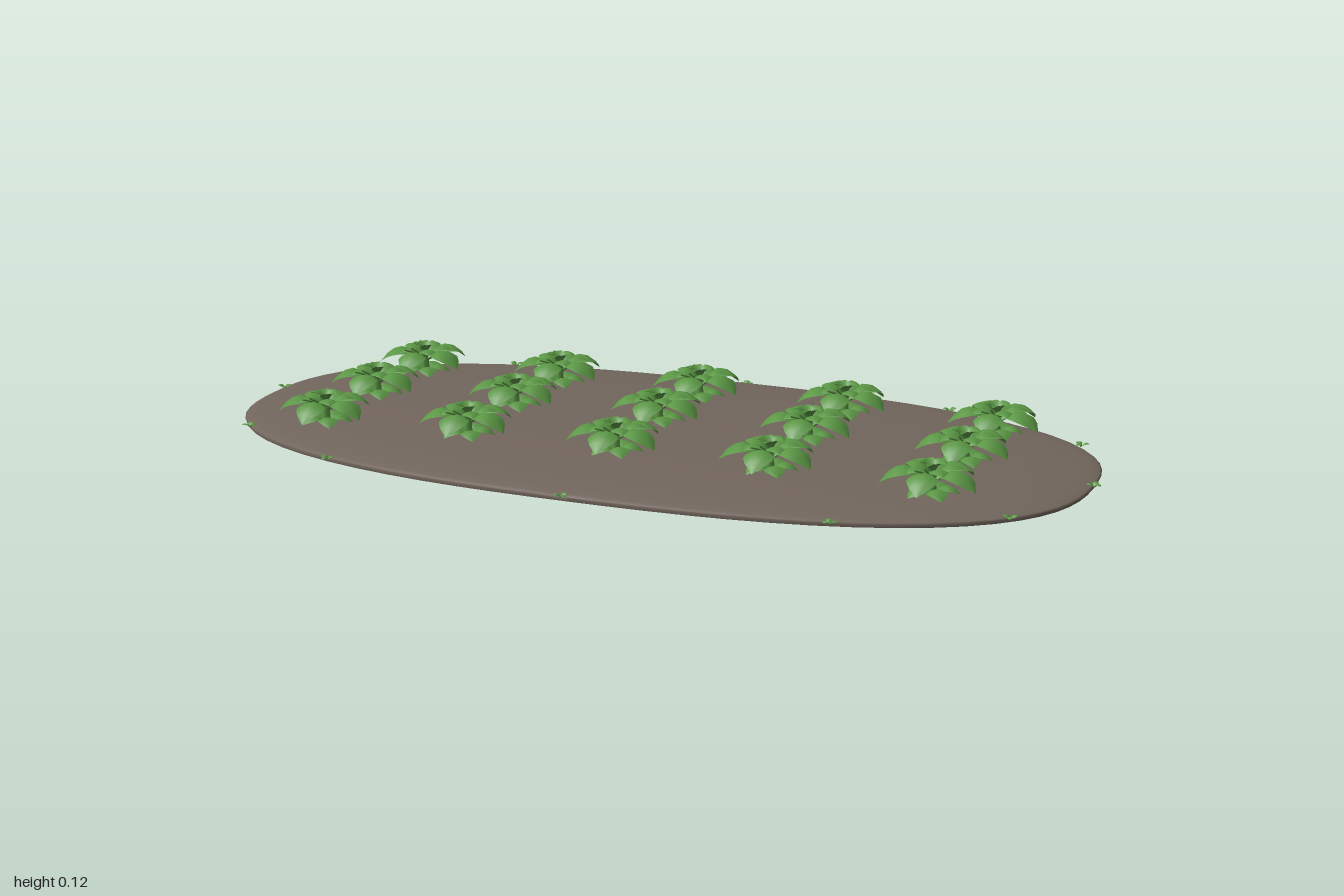
import * as THREE from 'three';
import { mergeGeometries } from 'three/addons/utils/BufferGeometryUtils.js';

const soil = new THREE.MeshStandardMaterial({ color: 0x72665d });
soil.name = 'soil brown';
const green = new THREE.MeshStandardMaterial({ color: 0x5a9644, side: THREE.DoubleSide });
green.name = 'leaf green';

const HALF_X = 0.983, HALF_Z = 0.495, CX = -0.006, CZ = -0.008, POWER = 2.5;

// Mound height at a relative distance from the centre (0 to 1)
const moundHeight = (r) => 0.007 + 0.035 * Math.sqrt(Math.max(0, 1 - r * r)) ** 1.1;

// Turn a unit disc into a rounded oval
function toOval(geometry) {
  const p = geometry.attributes.position;
  for (let i = 0; i < p.count; i++) {
    const x = p.getX(i), z = p.getZ(i), r = Math.hypot(x, z);
    if (r < 1e-6) { p.setXYZ(i, CX, p.getY(i), CZ); continue; }
    const k = (Math.abs(x / r) ** POWER + Math.abs(z / r) ** POWER) ** (-1 / POWER);
    p.setX(i, CX + x * k * HALF_X);
    p.setZ(i, CZ + z * k * HALF_Z);
  }
  geometry.computeVertexNormals();
  return geometry;
}

// Curved leaf growing along +z; path is [radius, height] for start, bend and tip
function leaf(path, width, droop, angle) {
  const curve = new THREE.QuadraticBezierCurve(...path.map((q) => new THREE.Vector2(...q)));
  const geometry = new THREE.PlaneGeometry(1, 1, 4, 6);
  const p = geometry.attributes.position;
  for (let i = 0; i < p.count; i++) {
    const side = p.getX(i) * 2, t = p.getY(i) + 0.5;
    const c = curve.getPoint(t);
    const half = width / 2 * (0.08 + Math.sin(Math.PI * t ** 1.25)) * (t > 0.99 ? 0.2 : 1);
    p.setXYZ(i, -side * half, c.y - droop * side * side * Math.sin(Math.PI * t), c.x);
  }
  geometry.computeVertexNormals();
  return geometry.rotateY(angle);
}

function ringOfLeaves(count, offset, path, width, droop) {
  return Array.from({ length: count }, (_, i) =>
    leaf(path, width, droop, offset + i * 2 * Math.PI / count));
}

function plantGeometries() {
  const outer = ringOfLeaves(5, 0, [[0.01, 0.035], [0.06, 0.1], [0.108, 0.028]], 0.062, 0.012);
  const inner = ringOfLeaves(5, Math.PI / 5, [[0.004, 0.04], [0.03, 0.085], [0.066, 0.06]], 0.04, 0.007);
  const heart = ringOfLeaves(5, 0, [[0.002, 0.045], [0.012, 0.08], [0.034, 0.073]], 0.022, -0.004);
  const basal = ringOfLeaves(5, Math.PI / 5, [[0.004, 0.006], [0.03, 0.042], [0.06, 0.006]], 0.042, 0.006);
  // Two thin sprigs leaning forwards
  const sprigs = [-1, 1].map((s) => new THREE.TubeGeometry(new THREE.QuadraticBezierCurve3(
    new THREE.Vector3(0, 0.045, 0.005),
    new THREE.Vector3(s * 0.006, 0.066, 0.05),
    new THREE.Vector3(s * 0.012, 0.079 + s * 0.004, 0.084 + s * 0.005)), 6, 0.002, 5));
  const stem = new THREE.CylinderGeometry(0.007, 0.012, 0.06, 8).translate(0, 0.025, 0);
  return {
    outerLeaves: mergeGeometries(outer),
    innerLeaves: mergeGeometries([...inner, ...heart]),
    basalLeaves: mergeGeometries(basal),
    sprigs: mergeGeometries(sprigs),
    stem,
  };
}

function add(parent, name, geometry, material) {
  const mesh = new THREE.Mesh(geometry, material);
  mesh.name = name;
  parent.add(mesh);
  return mesh;
}

export function createModel() {
  const model = new THREE.Group();
  model.name = 'plantedBed';

  // Soil mound and its flat underside
  const radii = [1, 0.995, 0.98, 0.95, 0.9, 0.82, 0.7, 0.55, 0.35, 0.15, 0];
  const profile = [new THREE.Vector2(0.997, 0),
    ...radii.map((r) => new THREE.Vector2(r, moundHeight(r)))];
  add(model, 'soilMound', toOval(new THREE.LatheGeometry(profile, 72)), soil);
  add(model, 'soilUnderside',
    toOval(new THREE.CircleGeometry(0.997, 72).rotateX(Math.PI / 2)), soil);

  // Three rows of five plants
  const parts = plantGeometries();
  for (const z of [-0.24, 0, 0.24]) {
    for (const x of [-0.708, -0.355, -0.003, 0.348, 0.7]) {
      const plant = new THREE.Group();
      plant.name = 'plant';
      const r = (Math.abs(x / HALF_X) ** POWER + Math.abs(z / HALF_Z) ** POWER) ** (1 / POWER);
      plant.position.set(x, moundHeight(r) - 0.002, z);
      for (const [name, geometry] of Object.entries(parts)) add(plant, name, geometry, green);
      model.add(plant);
    }
  }

  // Small weeds around the rim
  const weed = mergeGeometries(
    ringOfLeaves(3, 0, [[0, 0], [0.008, 0.016], [0.018, 0.007]], 0.014, 0.002));
  const spots = [[-0.57, -0.452], [0.015, -0.497], [0.53, -0.457], [0.878, -0.295],
    [0.978, -0.01], [0.875, 0.272], [0.55, 0.44], [-0.02, 0.485],
    [-0.6, 0.432], [-0.888, 0.27], [-0.985, -0.05], [-0.87, -0.31]];
  spots.forEach(([x, z], i) => {
    const mesh = add(model, 'rimWeed', weed, green);
    mesh.position.set(x, 0.005, z);
    mesh.rotation.y = i * 1.3;
  });
  return model;
}
